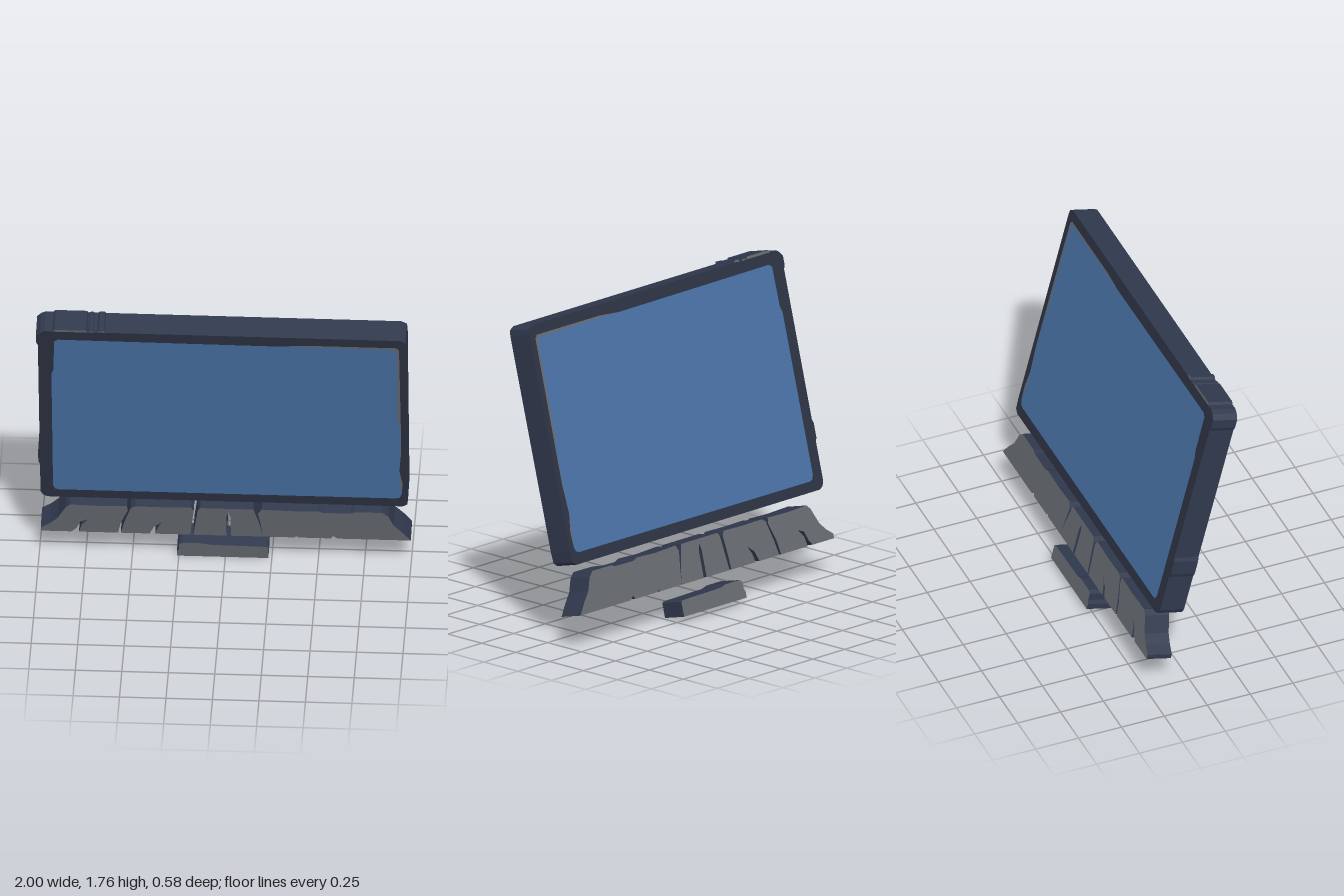
import * as THREE from 'three';

const TILT = 0.25;   // forward lean of the whole device
const DEPTH = 0.145; // common slab thickness

const mat = (name, color) => {
  const m = new THREE.MeshStandardMaterial({ color });
  m.name = name;
  return m;
};

// Heights are upright heights of the front face; stretch them along the lean.
const toPoints = (pts) => pts.map(([x, y]) => new THREE.Vector2(x, y / Math.cos(TILT)));

// Slab with separate materials for its two faces and its edge.
function slab(name, outline, face, edge, holes = []) {
  const shape = new THREE.Shape(toPoints(outline));
  for (const h of holes) shape.holes.push(new THREE.Path(toPoints(h)));
  const geo = new THREE.ExtrudeGeometry(shape, { depth: DEPTH, bevelEnabled: false });
  geo.translate(0, 0, -DEPTH);
  const mesh = new THREE.Mesh(geo, [face, edge]);
  mesh.name = name;
  return mesh;
}

export function createModel() {
  const navy = mat('navy edge', 0x30384d);
  const dark = mat('dark frame', 0x2b3241);
  const blue = mat('screen blue', 0x4971a5);
  const grey = mat('key grey', 0x666b71);

  const model = new THREE.Group();
  model.name = 'computer';
  const body = new THREE.Group();
  body.name = 'leaningBody';
  body.rotation.x = TILT;
  body.position.z = -0.145;
  model.add(body);

  // Screen frame, a rounded ring
  const opening = [
    [-0.92, 0.52], [-0.91, 0.495], [-0.89, 0.488], [0.92, 0.488], [0.945, 0.495], [0.955, 0.52],
    [0.962, 0.6], [0.945, 0.7], [0.957, 0.85], [0.957, 1.1], [0.955, 1.63], [0.94, 1.65],
    [0.45, 1.65], [0.3, 1.638], [-0.88, 1.645], [-0.902, 1.63], [-0.905, 1.42], [-0.918, 1.38],
  ];
  body.add(slab('screenFrame', [
    [-0.95, 0.432], [0.96, 0.428], [0.985, 0.445], [0.99, 0.5], [0.995, 1.66], [0.99, 1.69], [0.96, 1.706],
    [-0.61, 1.708], [-0.95, 1.708], [-0.975, 1.695], [-0.988, 1.68], [-0.998, 1.67], [-0.998, 1.62], [-0.988, 1.6],
    [-0.988, 0.8], [-0.997, 0.78], [-0.997, 0.7], [-0.988, 0.68], [-0.988, 0.47], [-0.975, 0.445],
  ], dark, navy, [opening]));

  // Screen and the thin grey trim beside its upper right corner
  const rightEdge = [
    [0.955, 0.52], [0.948, 0.6], [0.945, 0.7], [0.952, 0.85], [0.955, 1.0], [0.942, 1.1],
    [0.942, 1.6], [0.93, 1.636], [0.45, 1.64], [0.3, 1.638],
  ];
  body.add(slab('screen', [...opening.slice(0, 5), ...rightEdge, ...opening.slice(14)], blue, blue));
  body.add(slab('screenTrimLower', [[0.955, 0.52], [0.962, 0.6], [0.945, 0.7], [0.948, 0.6]], grey, grey));
  body.add(slab('screenTrim', [
    [0.945, 0.7], [0.957, 0.85], [0.957, 1.1], [0.955, 1.63], [0.94, 1.65], [0.45, 1.65], [0.3, 1.638],
    ...rightEdge.slice(2, 9).reverse(),
  ], grey, grey));

  // Low buttons on the top edge
  for (const [a, b, top] of [[-0.91, -0.72, 1.72], [-0.72, -0.685, 1.714], [-0.67, -0.625, 1.719]]) {
    body.add(slab('topButton', [[a, 1.706], [b, 1.706], [b - 0.008, top], [a + 0.012, top]], grey, navy));
  }

  // Keyboard sections, split by slanted gaps and bottom notches
  const keyboard = new THREE.Group();
  keyboard.name = 'keyboard';
  body.add(keyboard);
  const sections = [
    [[-0.99, 0.165], [-0.825, 0.165], [-0.8, 0.19], [-0.775, 0.245], [-0.735, 0.26], [-0.77, 0.22], [-0.785, 0.165],
      [-0.575, 0.165], [-0.56, 0.24], [-0.52, 0.34], [-0.525, 0.372], [-0.67, 0.368], [-0.83, 0.373], [-0.855, 0.35],
      [-0.9, 0.265], [-0.94, 0.225], [-0.99, 0.19]],
    [[-0.56, 0.165], [-0.405, 0.165], [-0.38, 0.22], [-0.335, 0.255], [-0.36, 0.215], [-0.375, 0.165],
      [-0.185, 0.165], [-0.178, 0.25], [-0.165, 0.35], [-0.18, 0.373], [-0.33, 0.37], [-0.48, 0.372],
      [-0.505, 0.355], [-0.54, 0.25]],
    [[-0.17, 0.165], [0.01, 0.165], [0.01, 0.31], [0.02, 0.345], [0.032, 0.31], [0.032, 0.165],
      [0.205, 0.165], [0.19, 0.25], [0.165, 0.34], [0.155, 0.372], [-0.13, 0.372], [-0.145, 0.35]],
    [[0.205, 0.165], [0.375, 0.165], [0.385, 0.175], [0.4, 0.165], [0.57, 0.165], [0.582, 0.185], [0.605, 0.165],
      [1.0, 0.165], [0.955, 0.225], [0.91, 0.275], [0.88, 0.345], [0.85, 0.373], [0.7, 0.372], [0.68, 0.362],
      [0.53, 0.36], [0.5, 0.372], [0.36, 0.367], [0.2, 0.373], [0.18, 0.34], [0.195, 0.25]],
  ];
  for (const s of sections) keyboard.add(slab('keyboardSection', s, grey, navy));

  // Touch pad below the keyboard
  body.add(slab('touchPad', [
    [-0.26, 0], [0.232, 0], [0.232, 0.08], [0.22, 0.086], [-0.08, 0.09], [-0.12, 0.1],
    [-0.23, 0.1], [-0.248, 0.088], [-0.25, 0.05], [-0.26, 0.03],
  ], grey, navy));

  return model;
}
